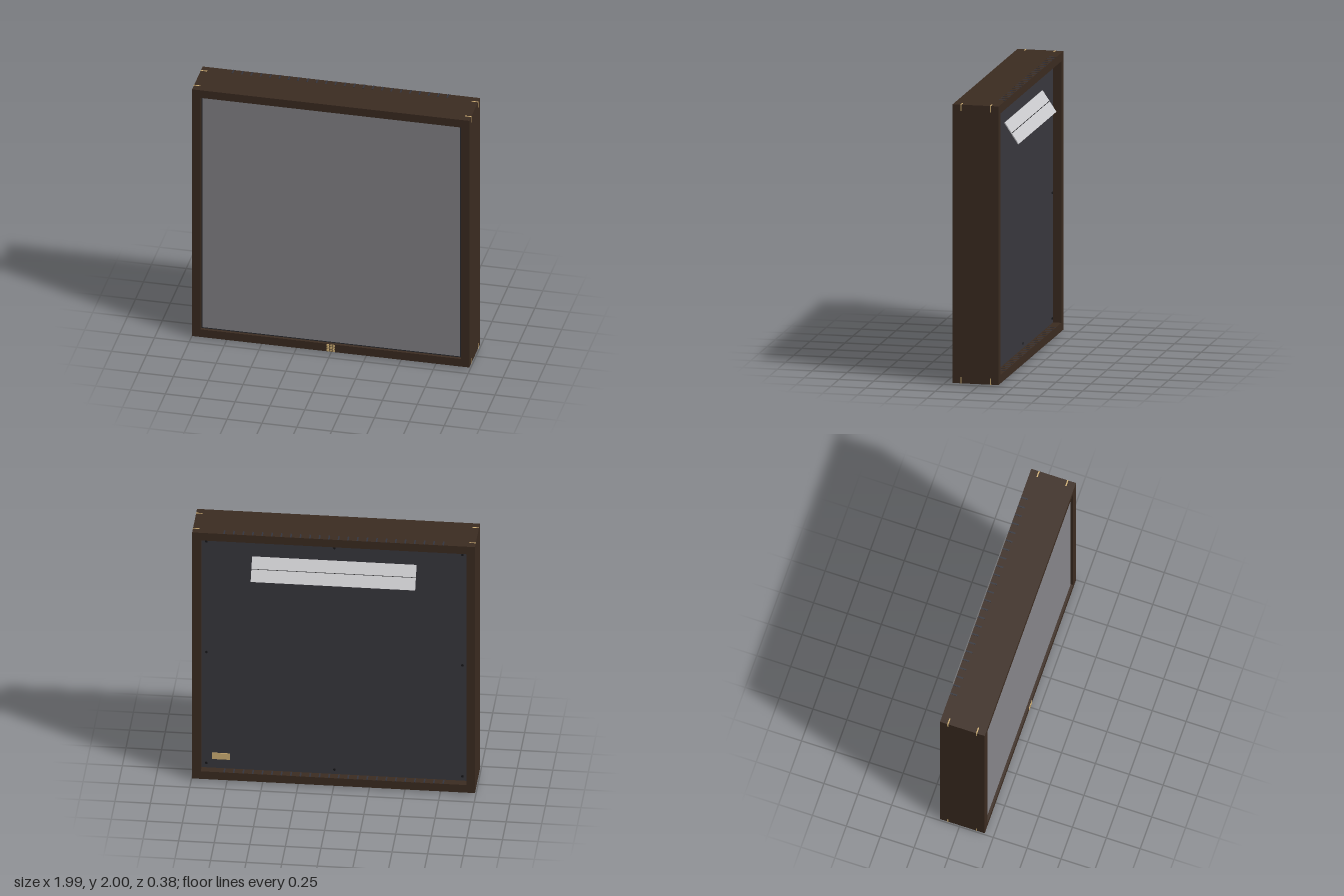
import * as THREE from 'three';

const mat = (name, color, extra = {}) =>
  Object.assign(new THREE.MeshStandardMaterial({ color, ...extra }), { name });

export function createModel() {
  const wood = mat('walnut', 0x3c2c21);
  const brass = mat('brass', 0xd2b277);
  const glass = mat('grey glass', 0x88878c);
  const bezelDark = mat('bezel charcoal', 0x2a2a2f);
  const backDark = mat('back panel charcoal', 0x39383e);
  const ventDark = mat('vent slate', 0x34353e);
  const black = mat('black metal', 0x18181b);
  const alu = mat('aluminium', 0xcacacd);

  const model = new THREE.Group();
  model.name = 'framedPanel';
  const add = (parent, name, geo, material, x = 0, y = 0, z = 0) => {
    const m = new THREE.Mesh(geo, material);
    m.name = name;
    m.position.set(x, y, z);
    parent.add(m);
    return m;
  };
  const group = (name) => {
    const g = new THREE.Group();
    g.name = name;
    model.add(g);
    return g;
  };
  const box = (w, h, d) => new THREE.BoxGeometry(w, h, d);
  const prism = (points, depth) => new THREE.ExtrudeGeometry(
    new THREE.Shape(points.map(([x, y]) => new THREE.Vector2(x, y))),
    { depth, bevelEnabled: false });

  // Overall frame limits
  const X = 0.994, Y0 = 0.012, Y1 = 2.0, ZB = -0.145, ZF = 0.185, W = 0.061;
  const midY = (Y0 + Y1) / 2;

  // Four mitred rails
  const frame = group('frame');
  const outer = [[-X, Y0], [X, Y0], [X, Y1], [-X, Y1]];
  const inner = outer.map(([x, y]) => [x - Math.sign(x) * W, y + (y < 1 ? W : -W)]);
  ['bottomRail', 'leftRail', 'topRail', 'rightRail'].forEach((name, i) => {
    const j = (i + 1) % 4;
    add(frame, name, prism([outer[i], outer[j], inner[j], inner[i]], ZF - ZB), wood, 0, 0, ZB);
  });

  // Brass spline keys let into the mitred corners
  const keys = group('cornerKeys');
  const leg = 0.047, proud = 0.0015;
  for (const [x, y] of outer) {
    const sx = Math.sign(x), sy = y < 1 ? -1 : 1;
    const cx = x + sx * proud, cy = y + sy * proud;
    const pts = [[cx, cy], [cx - sx * leg, cy], [cx, cy - sy * leg]];
    for (const z of [0.125, -0.087]) add(keys, 'cornerKey', prism(pts, 0.009), brass, 0, 0, z - 0.0045);
  }

  // Core: dark bezel in front, back panel behind
  const iw = 2 * (X - W), ih = Y1 - Y0 - 2 * W;
  add(model, 'bezel', box(iw, ih, 0.12), bezelDark, 0, midY, 0.103);
  add(model, 'backPanel', box(iw, ih, 0.128), backDark, 0, midY, -0.021);
  add(model, 'glass', box(1.846, 1.846, 0.006), glass, 0, midY, 0.165);

  // Vent slots through the top and bottom rails
  const vents = group('vents');
  for (let i = 0; i < 24; i++) {
    const x = -0.77 + (i * 1.54) / 23;
    add(vents, 'topVent', box(0.011, 0.004, 0.05), ventDark, x, Y1, -0.12);
    add(vents, 'bottomVent', box(0.011, W + 0.003, 0.05), ventDark, x, Y0 + W / 2, -0.1195);
  }

  // Brass chequer inlay at the front of the bottom rail
  const inlay = group('frontInlay');
  for (let r = 0; r < 3; r++) for (let c = 0; c < 3; c++)
    add(inlay, 'inlayTile', box(0.018, 0.016, 0.004), brass, (c - 1) * 0.022, 0.043 + (r - 1) * 0.02, ZF + 0.001);

  // Tilted hanging cleat on the back
  const cleat = group('hangingCleat');
  cleat.position.set(0, 1.725, -0.14);
  cleat.rotation.x = Math.atan2(0.1, 0.15);
  add(cleat, 'cleatPlate', box(1.156, 0.18, 0.007), alu);
  for (const s of [-1, 1]) add(cleat, 'cleatGroove', box(1.156, 0.004, 0.001), black, 0, 0, s * 0.0038);

  // Screws around the back panel
  const screws = group('screws');
  const screwGeo = new THREE.CylinderGeometry(0.009, 0.009, 0.006, 16).rotateX(Math.PI / 2);
  for (const x of [-0.9, 0, 0.9]) for (const y of [0.11, midY, 1.9])
    if (x !== 0 || y !== midY) add(screws, 'screw', screwGeo, black, x, y, -0.087);

  // Rating plate
  add(model, 'ratingPlate', box(0.125, 0.05, 0.006), brass, 0.797, 0.17, -0.087);

  // Socket plate and small buttons under the bottom rail
  add(model, 'socketPlate', box(0.17, 0.013, 0.09), bezelDark, 0.565, 0.0065, -0.025);
  for (let i = 0; i < 3; i++)
    add(model, 'button', new THREE.CylinderGeometry(0.008, 0.008, 0.008, 16), black, -0.842 + i * 0.022, 0.009, 0.165);

  return model;
}
